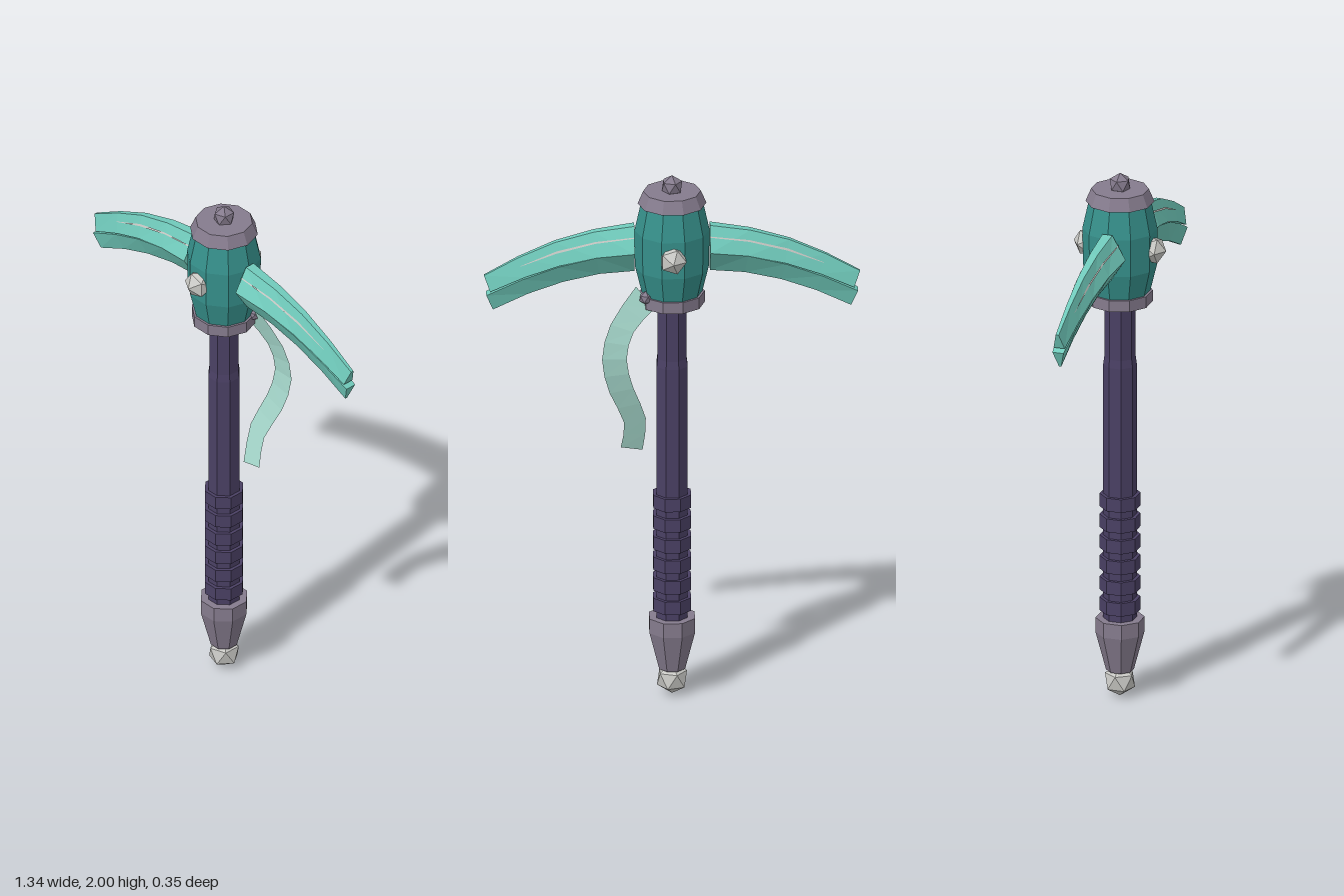
import * as THREE from 'three';

const mat = (name, color, side = THREE.FrontSide) => {
  const m = new THREE.MeshStandardMaterial({ color, flatShading: true, side });
  m.name = name;
  return m;
};

export function createModel() {
  const model = new THREE.Group();
  model.name = 'warPick';
  const teal = mat('deep teal', 0x36908b);
  const jade = mat('light jade', 0x70cabb);
  const purple = mat('dark purple', 0x4a4064);
  const metal = mat('mauve metal', 0x857b8d);
  const stone = mat('pale stone', 0xc9c9c5, THREE.DoubleSide);
  const cloth = mat('pale cloth', 0xa6d8cc, THREE.DoubleSide);

  const add = (name, geo, material, parent = model) => {
    const mesh = new THREE.Mesh(geo, material);
    mesh.name = name;
    parent.add(mesh);
    return mesh;
  };

  // Faceted turned part; profile is [radius, y] from bottom to top, flat side to the front
  const turned = (name, profile, sides, material) => {
    const pts = [[0, profile[0][1]], ...profile, [0, profile[profile.length - 1][1]]];
    return add(name, new THREE.LatheGeometry(pts.map(p => new THREE.Vector2(...p)), sides, Math.PI / sides), material);
  };

  // Icosahedral stud with a vertex pointing up
  const stud = (name, r, x, y, z, material) => {
    const geo = new THREE.IcosahedronGeometry(r, 0).rotateZ(0.5536);
    const mesh = add(name, geo, material);
    mesh.position.set(x, y, z);
    return mesh;
  };

  // Surface from cross-sections of [x, y, z]; closed rings get end caps
  const loft = (rings, closed) => {
    const n = rings[0].length, index = [];
    for (let i = 0; i < rings.length - 1; i++) {
      for (let j = 0; j < (closed ? n : n - 1); j++) {
        const a = i * n + j, b = i * n + (j + 1) % n;
        index.push(a, b, b + n, a, b + n, a + n);
      }
    }
    if (closed) {
      const e = (rings.length - 1) * n;
      for (let j = 1; j < n - 1; j++) index.push(0, j + 1, j, e, e + j, e + j + 1);
    }
    const geo = new THREE.BufferGeometry();
    geo.setAttribute('position', new THREE.Float32BufferAttribute(rings.flat(2), 3));
    geo.setIndex(index);
    const flat = geo.toNonIndexed();
    flat.computeVertexNormals();
    return flat;
  };

  // Handle, grip bands and pommel
  turned('shaft', [[0.06, 0.28], [0.06, 1.27], [0.056, 1.3], [0.056, 1.53]], 8, purple);
  for (let i = 0; i < 6; i++) {
    const y = 0.338 + i * 0.0795;
    turned('gripBand', [[0.073, y - 0.01], [0.073, y + 0.04]], 8, purple);
  }
  turned('pommel', [[0.05, 0.1], [0.088, 0.245], [0.088, 0.3]], 8, metal);
  stud('pommelStone', 0.06, 0, 0.06, 0, stone);

  // Barrel head with collar, cap and finial
  turned('collar', [[0.117, 1.51], [0.117, 1.553]], 10, metal);
  turned('head', [[0.108, 1.55], [0.132, 1.65], [0.134, 1.79], [0.11, 1.9]], 10, teal);
  turned('cap', [[0.123, 1.893], [0.103, 1.94]], 10, metal);
  stud('finial', 0.041, 0, 1.959, 0, metal);
  for (const s of [1, -1]) {
    stud('headStud', 0.053, 0, 1.722, s * 0.122, stone).rotation.x = s * Math.PI / 2;
  }

  // Pick blades: an upper and a lower prong sharing a ridge, parting toward the tip
  // [top x, top y, ridge x, ridge y, bottom x, bottom y, ridge half width]
  const stations = [
    [0.135, 1.812, 0.135, 1.724, 0.135, 1.638, 0.069],
    [0.28, 1.79, 0.27, 1.706, 0.26, 1.627, 0.054],
    [0.42, 1.75, 0.405, 1.67, 0.39, 1.597, 0.041],
    [0.55, 1.692, 0.53, 1.622, 0.515, 1.552, 0.031],
    [0.672, 1.624, 0.655, 1.562, 0.64, 1.492, 0.021],
  ];
  const upper = stations.map(([tx, ty, rx, ry, , , w], i) => {
    const t = w * 0.27, gap = i > 1 ? (i - 1) * 0.0015 : 0;
    return [[tx, ty, -t], [tx, ty, t], [rx - gap, ry + gap, w], [rx - gap, ry + gap, -w]];
  });
  const lower = stations.map(([, , rx, ry, bx, by, w], i) => {
    const t = w * 0.2, gap = i > 1 ? (i - 1) * 0.003 : 0;
    return [[rx + gap, ry - gap, -w], [rx + gap, ry - gap, w], [bx, by, t], [bx, by, -t]];
  });
  // Thin pale inlay on the upper slopes
  const inlay = s => stations.slice(0, 4).map(([tx, ty, rx, ry, , , w], i) => {
    const h = [0.02, 0.035, 0.045, 0.01][i];
    return [0.43 - h, 0.43 + h].map(f => [
      tx + (rx - tx) * f, ty + (ry - ty) * f + 0.002, s * (w * (0.27 + 0.73 * f) + 0.002),
    ]);
  });
  for (const s of [1, -1]) {
    const blade = new THREE.Group();
    blade.name = s > 0 ? 'leftBlade' : 'rightBlade';
    blade.scale.x = s;
    add('upperProng', loft(upper, true), jade, blade);
    add('lowerProng', loft(lower, true), jade, blade);
    add('frontInlay', loft(inlay(1), false), stone, blade);
    add('backInlay', loft(inlay(-1), false), stone, blade);
    model.add(blade);
  }

  // Hanging ribbon, swept between two edge curves
  const curve = pts => new THREE.CatmullRomCurve3(pts.map(p => new THREE.Vector3(...p)));
  const inner = curve([[0.065, 1.51, -0.06], [0.14, 1.43, -0.085], [0.165, 1.33, -0.096],
    [0.14, 1.21, -0.078], [0.095, 1.08, -0.042], [0.105, 0.94, 0.002]]);
  const outer = curve([[0.13, 1.59, -0.045], [0.222, 1.46, -0.082], [0.253, 1.33, -0.094],
    [0.225, 1.19, -0.072], [0.172, 1.06, -0.035], [0.183, 0.952, -0.002]]);
  const strips = [];
  for (let i = 0; i <= 10; i++) {
    strips.push([inner.getPoint(i / 10).toArray(), outer.getPoint(i / 10).toArray()]);
  }
  add('ribbon', loft(strips, false), cloth);
  stud('ribbonKnot', 0.026, 0.095, 1.552, -0.06, metal);

  return model;
}
